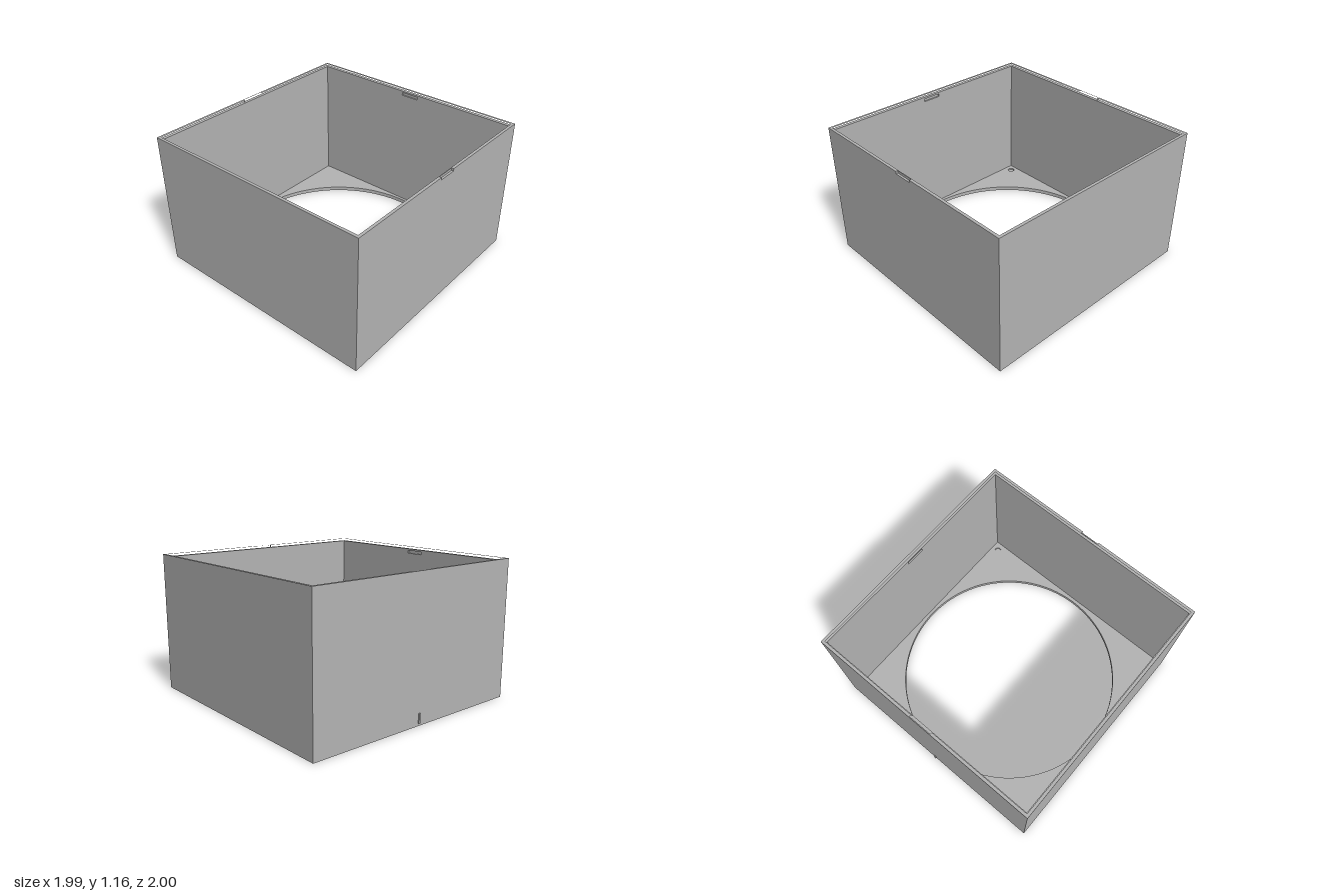
import * as THREE from 'three';

export function createModel() {
  const group = new THREE.Group();
  const grey = new THREE.MeshStandardMaterial({ color: 0xb4b4b4 });
  grey.name = 'grey';
  const W = 0.995, Z = 0.005; // half width of the box, z of its centre

  const rect = (C, x0, z0, x1, z1) => {
    const s = new C();
    s.moveTo(x0, -z1).lineTo(x1, -z1).lineTo(x1, -z0).lineTo(x0, -z0).closePath();
    return s;
  };
  const circle = (x, z, r) => new THREE.Path().absarc(x, -z, r, 0, Math.PI * 2);
  const polygon = (C, pts) => new C(pts.map(([x, z]) => new THREE.Vector2(x, -z)));

  // Horizontal slab from y0 to y1, cut by holes
  function layer(name, y0, y1, outline, holes) {
    outline.holes.push(...holes);
    const geo = new THREE.ExtrudeGeometry(outline, { depth: y1 - y0, bevelEnabled: false, curveSegments: 48 });
    geo.rotateX(-Math.PI / 2).translate(0, y0, 0);
    const mesh = new THREE.Mesh(geo, grey);
    mesh.name = name;
    group.add(mesh);
  }
  const outer = () => rect(THREE.Shape, -W, Z - W, W, Z + W);
  const inner = (h) => rect(THREE.Path, -h, Z - h, h, Z + h);

  // Floor with the large opening, a square pocket below and round pockets above
  layer('floorUnderside', 0, 0.02, outer(), [circle(0, 0, 0.94), rect(THREE.Path, 0.85, -0.94, 0.94, -0.85)]);
  layer('floorTop', 0.02, 0.035, outer(), [circle(0, 0, 0.94), circle(-0.9, -0.9, 0.03), circle(0.9, 0.9, 0.03)]);

  // Walls
  layer('walls', 0.035, 1.1, outer(), [inner(0.965)]);

  // Band with a shallow catch groove inside each side wall
  const h = 0.965, g = 0.978, n = Z - h, f = Z + h;
  layer('grooveBand', 1.1, 1.125, outer(), [polygon(THREE.Path, [
    [-h, n], [h, n], [h, -0.08], [g, -0.08], [g, 0.08], [h, 0.08],
    [h, f], [-h, f], [-h, 0.08], [-g, 0.08], [-g, -0.08], [-h, -0.08]])]);
  layer('ledge', 1.125, 1.14, outer(), [inner(0.965)]);

  // Rim lip: finger notch in the outside of the front, clip slot in the inside of the back
  const l = 0.972, b = Z - W, t = Z + W;
  layer('rim', 1.14, 1.16,
    polygon(THREE.Shape, [[-W, b], [W, b], [W, t], [0.08, t], [0.08, 0.983], [-0.08, 0.983], [-0.08, t], [-W, t]]),
    [polygon(THREE.Path, [[-l, Z - l], [-0.1, Z - l], [-0.1, -0.983], [0.1, -0.983], [0.1, Z - l],
      [l, Z - l], [l, Z + l], [-l, Z + l]])]);

  // Small raised mark low on the back
  const mark = new THREE.Mesh(new THREE.BoxGeometry(0.012, 0.08, 0.012), grey);
  mark.position.set(0, 0.06, -0.994);
  mark.name = 'backMark';
  group.add(mark);

  return group;
}
